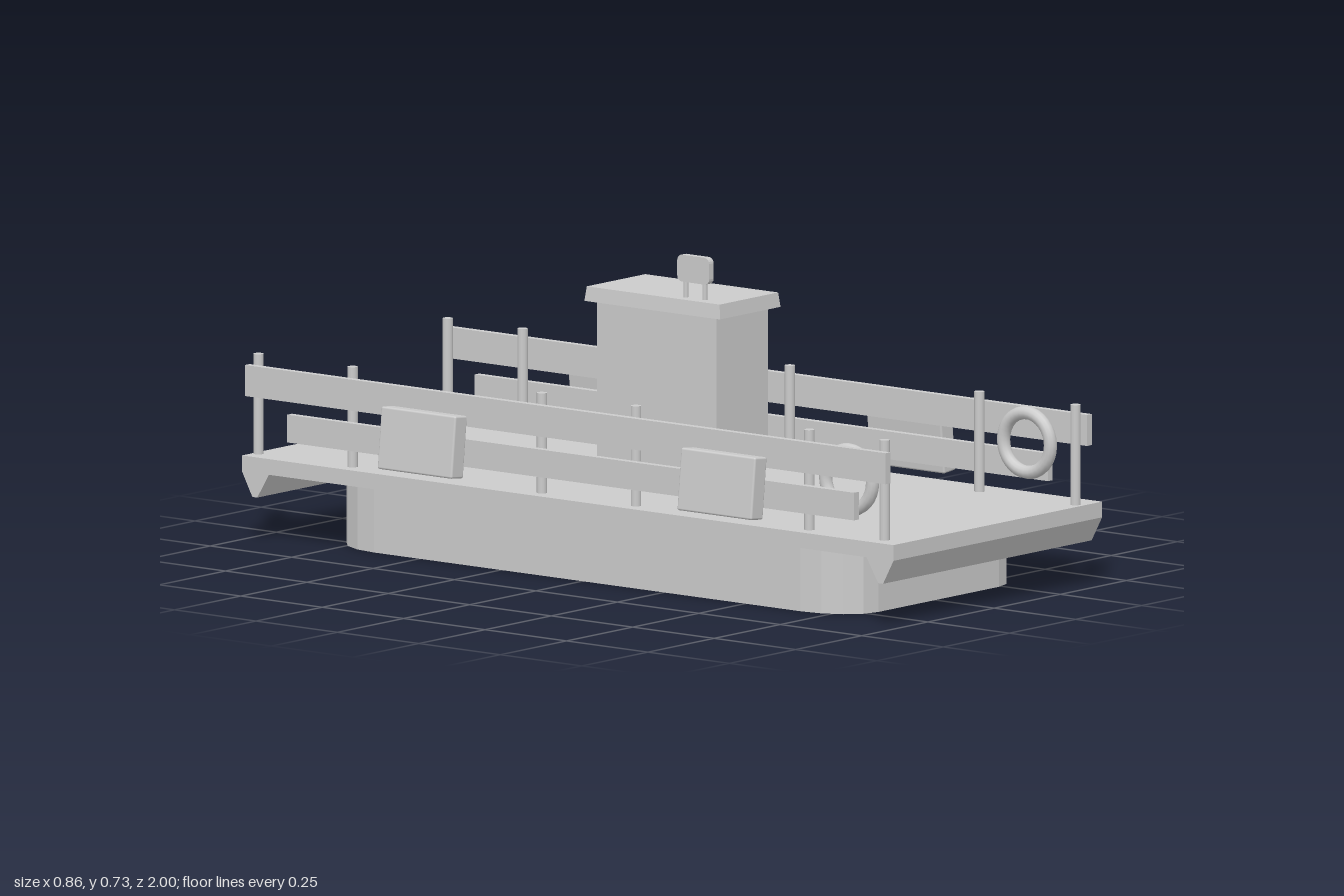
import * as THREE from 'three';
import { RoundedBoxGeometry } from 'three/addons/geometries/RoundedBoxGeometry.js';

const flat = new THREE.MeshStandardMaterial({ color: 0xcccccc, flatShading: true });
const smooth = new THREE.MeshStandardMaterial({ color: 0xcccccc });

function add(parent, name, geometry, material = flat) {
  const mesh = new THREE.Mesh(geometry, material);
  mesh.name = name;
  parent.add(mesh);
  return mesh;
}

// Box given by its minimum and maximum on each axis
function span(x0, x1, y0, y1, z0, z1) {
  return new THREE.BoxGeometry(x1 - x0, y1 - y0, z1 - z0)
    .translate((x0 + x1) / 2, (y0 + y1) / 2, (z0 + z1) / 2);
}

// Side profile given as (z, y), extruded across x from x0 to x1
function acrossX(shape, x0, x1, curveSegments = 4) {
  return new THREE.ExtrudeGeometry(shape, { depth: x1 - x0, bevelEnabled: false, curveSegments })
    .rotateY(-Math.PI / 2).translate(x1, 0, 0);
}

// Rectangle with elliptical corners, rx by ry
function roundedRect(x0, x1, y0, y1, rx, ry, steps) {
  const points = [];
  const corners = [[x1 - rx, y1 - ry], [x0 + rx, y1 - ry], [x0 + rx, y0 + ry], [x1 - rx, y0 + ry]];
  corners.forEach(([cx, cy], i) => {
    for (let k = 0; k <= steps; k++) {
      const a = (i + k / steps) * Math.PI / 2;
      points.push(new THREE.Vector2(cx + rx * Math.cos(a), cy + ry * Math.sin(a)));
    }
  });
  return new THREE.Shape(points);
}

// One side railing: posts, boards, hanging fenders and a lifebuoy
function createRailing(name, side, postZ, fenderZ, upper, lower) {
  const rail = new THREE.Group();
  rail.name = name;
  for (const z of postZ) {
    add(rail, 'railPost', new THREE.CylinderGeometry(0.0125, 0.0125, 0.245, 12), smooth)
      .position.set(side * 0.336, 0.3225, z);
  }
  const boards = [['upperBoard', 0.345, 0.42, upper], ['lowerBoard', 0.247, 0.314, lower]];
  for (const [label, y0, y1, [z0, z1]] of boards) {
    const board = add(rail, label, span(-0.009, 0.009, y0, y1, z0, z1));
    board.position.x = side * 0.36;
  }
  for (const z of fenderZ) {
    const fender = add(rail, 'fender', new RoundedBoxGeometry(0.046, 0.15, 0.229, 2, 0.005), smooth);
    fender.position.set(side * 0.4, 0.299, z);
    fender.rotation.z = side * 0.105;
  }
  const buoy = add(rail, 'lifebuoy', new THREE.TorusGeometry(0.072, 0.016, 12, 32), smooth);
  buoy.rotation.y = Math.PI / 2;
  buoy.position.set(side * 0.336, 0.337, 0.828);
  return rail;
}

export function createModel() {
  const model = new THREE.Group();
  model.name = 'ferryBarge';

  // Hull with faceted rounded corners
  const hull = new THREE.ExtrudeGeometry(roundedRect(-0.325, 0.35, -0.82, 0.79, 0.11, 0.15, 4),
    { depth: 0.165, bevelEnabled: false }).rotateX(-Math.PI / 2);
  add(model, 'hull', hull);

  // Deck plate with a tapered lip under each end
  const lip = [[0.917, 0.165], [0.953, 0.106], [0.968, 0.106], [1, 0.165], [1, 0.203]];
  const outline = [...lip, ...lip.map(([z, y]) => [-z, y]).reverse()];
  const deckShape = new THREE.Shape(outline.map(([z, y]) => new THREE.Vector2(z, y)));
  add(model, 'deck', acrossX(deckShape, -0.38, 0.408));

  // Wheelhouse and its overhanging, slightly tapered roof
  add(model, 'wheelhouse', span(0.1, 0.296, 0.2, 0.595, -0.3, 0.066));
  const roof = span(0.083, 0.312, 0.588, 0.623, -0.325, 0.091);
  const p = roof.attributes.position;
  for (let i = 0; i < p.count; i++) {
    if (p.getY(i) > 0.6) {
      p.setX(i, p.getX(i) + (p.getX(i) > 0.2 ? -0.004 : 0.004));
      p.setZ(i, p.getZ(i) + (p.getZ(i) > 0 ? -0.004 : 0.004));
    }
  }
  add(model, 'roof', roof);

  // Small panel on two legs above the roof
  add(model, 'roofPanel', acrossX(roundedRect(-0.062, 0.036, 0.661, 0.726, 0.014, 0.014, 4), 0.11, 0.127));
  for (const z of [-0.042, 0.016]) {
    add(model, 'panelLeg', new THREE.CylinderGeometry(0.006, 0.006, 0.05, 10), smooth)
      .position.set(0.1185, 0.64, z);
  }

  // Railings along both sides
  model.add(createRailing('leftRailing', 1, [-0.95, -0.72, -0.187, 0.1, 0.682, 0.977],
    [-0.496, 0.42], [-0.978, 1], [-0.88, 0.88]));
  model.add(createRailing('rightRailing', -1, [-0.985, -0.696, -0.115, 0.174, 0.706, 0.937],
    [-0.43, 0.49], [-1, 0.967], [-0.87, 0.87]));

  return model;
}
